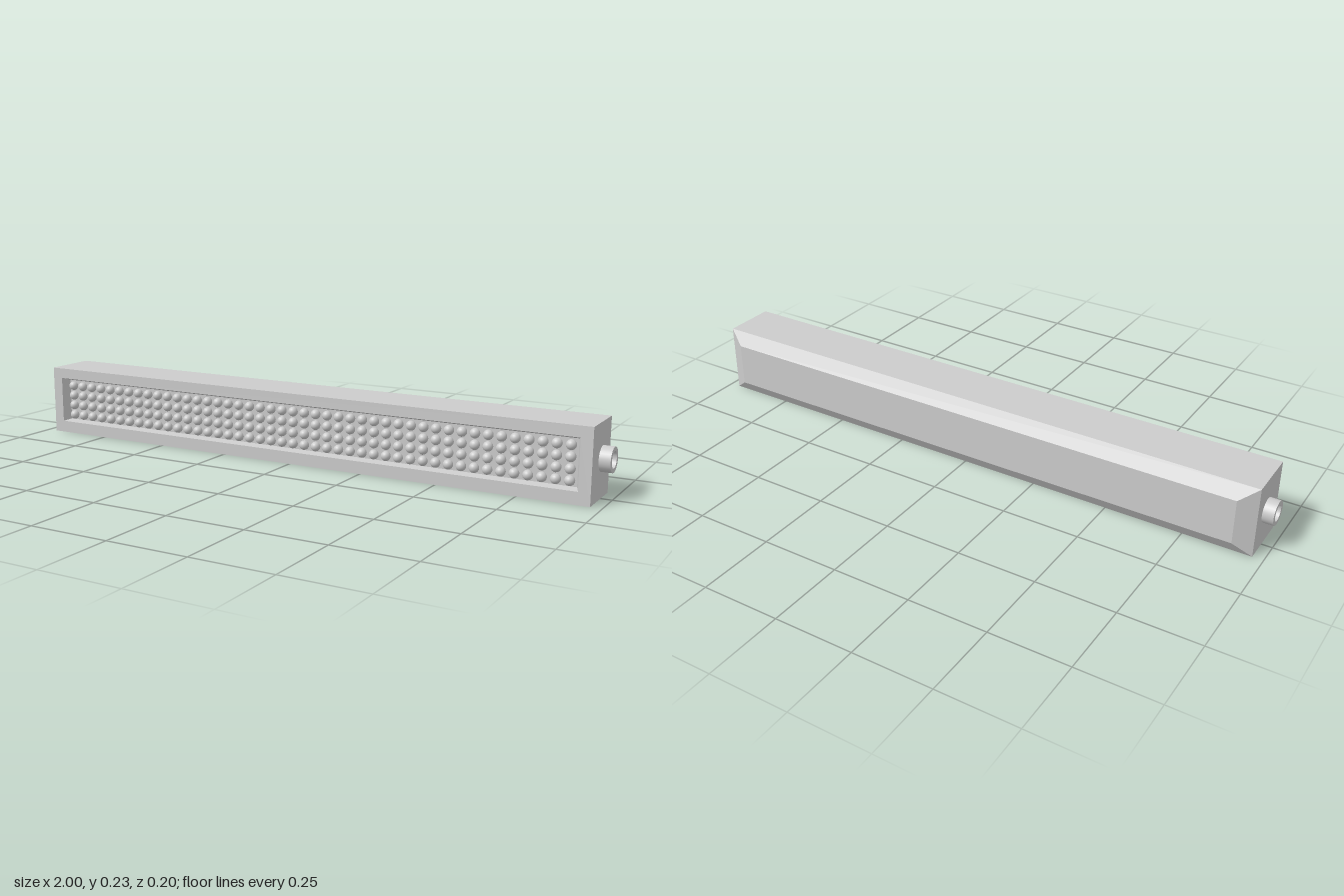
import * as THREE from 'three';
import { mergeGeometries } from 'three/addons/utils/BufferGeometryUtils.js';

const CY = 0.1135; // mid height of the housing

// Flat-shaded shell through rectangular sections [halfWidth, halfHeight, z, centreY], capped at both ends
function rectLoft(sections) {
  const pos = [];
  const corners = ([w, h, z, cy = CY]) => [
    [-w, cy - h, z], [w, cy - h, z], [w, cy + h, z], [-w, cy + h, z],
  ];
  const quad = (a, b, c, d) => pos.push(...a, ...b, ...c, ...a, ...c, ...d);
  const loops = sections.map(corners);
  const first = loops[0], last = loops[loops.length - 1];
  quad(first[3], first[2], first[1], first[0]);
  for (let i = 0; i < loops.length - 1; i++) {
    for (let k = 0; k < 4; k++) {
      const n = (k + 1) % 4;
      quad(loops[i][k], loops[i][n], loops[i + 1][n], loops[i + 1][k]);
    }
  }
  quad(...last);
  const g = new THREE.BufferGeometry();
  g.setAttribute('position', new THREE.Float32BufferAttribute(pos, 3));
  g.computeVertexNormals();
  return g;
}

export function createModel() {
  const group = new THREE.Group();
  const grey = new THREE.MeshStandardMaterial({ color: 0xcccccc });
  const add = (name, geometry) => {
    const mesh = new THREE.Mesh(geometry, grey);
    mesh.name = name;
    group.add(mesh);
    return mesh;
  };

  // Housing: chamfered back, straight sides, front rim and recessed tray
  add('housing', rectLoft([
    [0.91, 0.0715, -0.1],
    [0.966, 0.1135, -0.072],
    [0.966, 0.1135, 0.1],
    [0.93, 0.077, 0.1, 0.116],
    [0.918, 0.07, 0.07, 0.1135],
  ]));

  // Grid of small round lamps in the tray
  const columns = 45, rows = 4, lamps = [];
  for (let c = 0; c < columns; c++) {
    for (let r = 0; r < rows; r++) {
      const lamp = new THREE.SphereGeometry(0.0155, 16, 10);
      lamp.rotateX(Math.PI / 2);
      lamp.translate((c - (columns - 1) / 2) * 0.0408, 0.113 + (r - (rows - 1) / 2) * 0.0345, 0.076);
      lamps.push(lamp);
    }
  }
  add('lamps', mergeGeometries(lamps));

  // Hollow sockets on both ends
  const outer = 0.038, inner = 0.025, length = 0.036;
  const wall = (radius) => new THREE.CylinderGeometry(radius, radius, length, 32, 1, true);
  const bore = wall(inner);
  bore.scale(-1, 1, 1); // mirrored so that the bore faces inwards
  const rim = new THREE.RingGeometry(inner, outer, 32);
  rim.rotateX(-Math.PI / 2);
  rim.translate(0, length / 2, 0);
  const socketParts = [wall(outer), bore, rim];
  const socketGeometry = mergeGeometries(socketParts);
  const socketMaterial = grey.clone();
  socketMaterial.side = THREE.DoubleSide;
  for (const [name, side] of [['leftSocket', 1], ['rightSocket', -1]]) {
    const socket = add(name, socketGeometry);
    socket.material = socketMaterial;
    socket.rotation.z = -side * Math.PI / 2;
    socket.position.set(side * (1 - length / 2), 0.118, 0.003);
  }

  return group;
}
